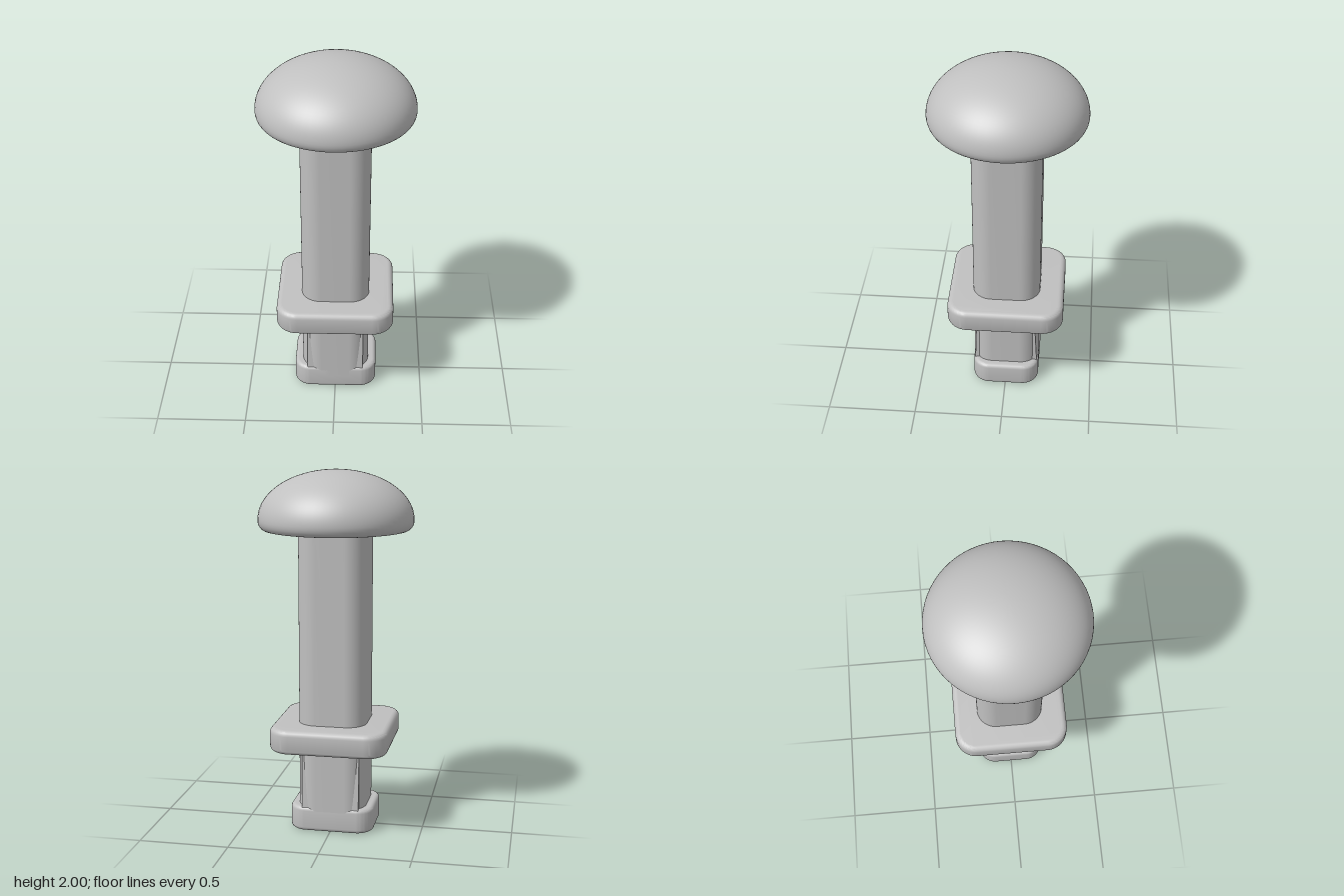
import * as THREE from 'three';
import { toCreasedNormals } from 'three/addons/utils/BufferGeometryUtils.js';

// Rounded rectangle outline, half sizes hx and hz, corner radius r
function roundedRect(hx, hz, r) {
  const s = new THREE.Shape();
  s.absarc(hx - r, hz - r, r, 0, Math.PI / 2);
  s.absarc(r - hx, hz - r, r, Math.PI / 2, Math.PI);
  s.absarc(r - hx, r - hz, r, Math.PI, Math.PI * 1.5);
  s.absarc(hx - r, r - hz, r, Math.PI * 1.5, Math.PI * 2);
  s.closePath();
  return s;
}

// Upright rounded prism from y0 to y1 with softened top and bottom edges
function prism(hx, hz, r, y0, y1, bevel) {
  const geo = new THREE.ExtrudeGeometry(roundedRect(hx - bevel, hz - bevel, r - bevel), {
    depth: y1 - y0 - 2 * bevel,
    curveSegments: 10,
    bevelEnabled: bevel > 0,
    bevelSize: bevel,
    bevelThickness: bevel,
    bevelSegments: 5,
  });
  geo.rotateX(-Math.PI / 2);
  geo.translate(0, y0 + bevel, 0);
  return toCreasedNormals(geo, 0.6);
}

export function createModel() {
  const model = new THREE.Group();
  model.name = 'peg';
  const grey = new THREE.MeshStandardMaterial({ color: 0xc0c0c0 });
  grey.name = 'light grey';

  const add = (name, geo) => {
    const mesh = new THREE.Mesh(geo, grey);
    mesh.name = name;
    model.add(mesh);
  };

  // Domed head: flat underside, rounded rim, elliptical cap
  const profile = [new THREE.Vector2(0, 1.675), new THREE.Vector2(0.385, 1.675)];
  for (let i = 1; i <= 6; i++) {
    const a = -Math.PI / 2 + (i / 6) * Math.PI / 2;
    profile.push(new THREE.Vector2(0.385 + 0.04 * Math.cos(a), 1.73 + 0.055 * Math.sin(a)));
  }
  for (let i = 1; i <= 24; i++) {
    const a = (i / 24) * Math.PI / 2;
    profile.push(new THREE.Vector2(i === 24 ? 0 : 0.425 * Math.cos(a), 1.73 + 0.27 * Math.sin(a)));
  }
  add('head', toCreasedNormals(new THREE.LatheGeometry(profile, 64), 0.6));

  // Shaft running from the foot to the head
  add('shaft', prism(0.19, 0.19, 0.11, 0.08, 1.69, 0));

  // Square collar
  add('collar', prism(0.327, 0.327, 0.12, 0.48, 0.615, 0.03));

  // Shank core: square-cornered, flaring in z towards the foot
  const core = new THREE.BoxGeometry(0.32, 0.42, 0.32);
  core.translate(0, 0.31, 0);
  const p = core.attributes.position;
  for (let i = 0; i < p.count; i++) {
    if (p.getY(i) < 0.3) p.setZ(i, Math.sign(p.getZ(i)) * 0.183);
  }
  core.computeVertexNormals();
  add('shankCore', core);

  // Foot, wider across x than z
  add('foot', prism(0.235, 0.19, 0.095, 0, 0.14, 0.022));

  return model;
}
